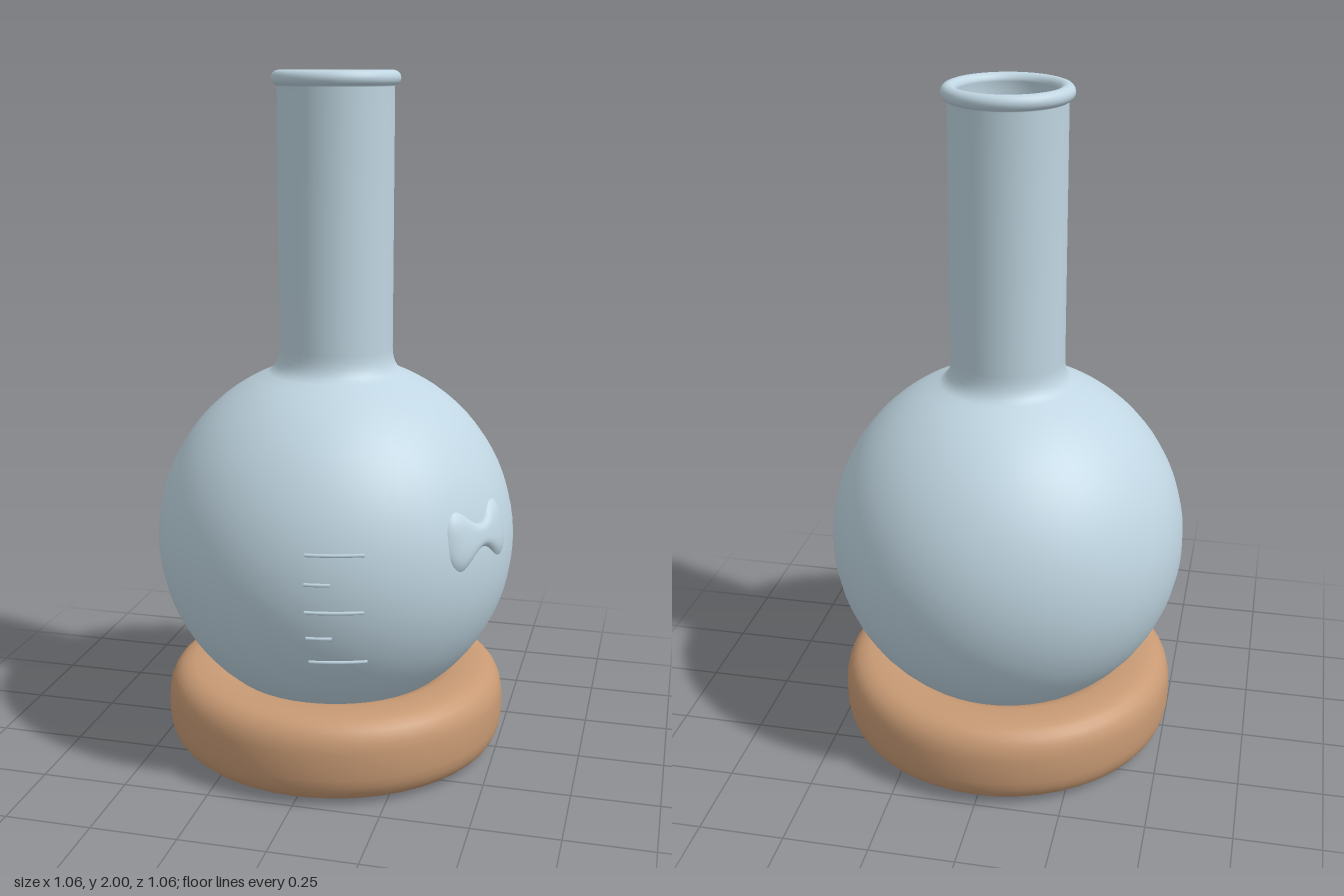
import * as THREE from 'three';

const R = 0.53, CY = 0.65, SEG = 48;

const glass = new THREE.MeshStandardMaterial({ name: 'glass blue', color: 0xc0d6e2 });
const cork = new THREE.MeshStandardMaterial({ name: 'cork brown', color: 0xc89a74 });
const liquid = new THREE.MeshStandardMaterial({ name: 'liquid pink', color: 0xd98c96 });

// Points on a circular arc in a lathe profile
function arc(cx, cy, r, a0, a1, n) {
  return Array.from({ length: n + 1 }, (_, i) => {
    const a = a0 + (a1 - a0) * i / n;
    return new THREE.Vector2(Math.max(0, cx + r * Math.cos(a)), cy + r * Math.sin(a));
  });
}

function add(group, name, geometry, material) {
  const mesh = new THREE.Mesh(geometry, material);
  mesh.name = name;
  group.add(mesh);
  return mesh;
}

// Round bulb, filleted neck, rolled lip and inner wall as one profile
function flaskGeometry() {
  const p = (x, y) => new THREE.Vector2(x, y);
  const inner = R - 0.025;
  const fillet = new THREE.CubicBezierCurve3(
    new THREE.Vector3(0.2, 1.141, 0), new THREE.Vector3(0.18, 1.152, 0),
    new THREE.Vector3(0.166, 1.17, 0), new THREE.Vector3(0.166, 1.215, 0)
  ).getPoints(6).map(v => p(v.x, v.y));
  return new THREE.LatheGeometry([
    ...arc(0, CY, R, -Math.PI / 2, Math.acos(0.2 / R), 36).slice(0, -1),
    ...fillet,
    p(0.166, 1.6), p(0.166, 1.955),
    ...arc(0.161, 1.978, 0.022, -1.0, Math.PI, 12),
    p(0.145, 1.95), p(0.145, 1.2),
    ...arc(0, CY, inner, Math.acos(0.145 / inner), -Math.PI / 2, 24),
  ], SEG);
}

// Cork support ring with a rounded-square section
function ringGeometry() {
  const pts = [];
  for (let i = 0; i <= 32; i++) {
    const a = Math.PI + i / 32 * Math.PI * 2;
    const soft = v => Math.sign(v) * Math.abs(v) ** 0.72;
    pts.push(new THREE.Vector2(0.4 + 0.11 * soft(Math.cos(a)), 0.125 + 0.125 * soft(Math.sin(a))));
  }
  return new THREE.LatheGeometry(pts, SEG);
}

// Raised two-lobed emblem wrapped on to the bulb
function emblemGeometry() {
  const geo = new THREE.PlaneGeometry(2, 2, 28, 16);
  const pos = geo.attributes.position;
  const lat0 = Math.asin((0.745 - CY) / R), az0 = 65 * Math.PI / 180;
  for (let i = 0; i < pos.count; i++) {
    const u = pos.getX(i), v = pos.getY(i);
    const half = (0.036 + 0.06 * Math.sin(Math.min(1, Math.abs(u) / 0.75) * Math.PI / 2) ** 2)
      * Math.sqrt(Math.max(0.02, 1 - Math.abs(u) ** 6));
    const lat = lat0 + v * half / R;
    const az = az0 + u * 0.14 / (R * Math.cos(lat0));
    const r = R - 0.005 + 0.019 * (1 - v ** 4) * (1 - u ** 6);
    pos.setXYZ(i, r * Math.cos(lat) * Math.sin(az), CY + r * Math.sin(lat), r * Math.cos(lat) * Math.cos(az));
  }
  geo.computeVertexNormals();
  return geo;
}

export function createModel() {
  const model = new THREE.Group();
  model.name = 'flaskOnRing';

  add(model, 'flask', flaskGeometry(), glass);
  add(model, 'supportRing', ringGeometry(), cork);
  add(model, 'emblem', emblemGeometry(), glass);

  // Liquid filling the lower bulb, with a flat surface
  const body = arc(0, CY, R - 0.03, -Math.PI / 2, 0.1, 20);
  const top = body[body.length - 1];
  add(model, 'liquidBody', new THREE.LatheGeometry(body, SEG), liquid);
  const surface = add(model, 'liquidSurface', new THREE.CircleGeometry(top.x, SEG), liquid);
  surface.rotation.x = -Math.PI / 2;
  surface.position.y = top.y;

  // Graduation marks, alternately long and short
  const marks = new THREE.Group();
  marks.name = 'graduationMarks';
  for (let i = 0; i < 5; i++) {
    const y = 0.43 + i * 0.08;
    const r = Math.sqrt(R * R - (y - CY) ** 2) + 0.002;
    const a0 = Math.asin(0.045 / r), a1 = Math.asin((i % 2 ? 0.115 : 0.2) / r);
    const mark = add(marks, 'mark' + (i + 1), new THREE.TorusGeometry(r, 0.005, 6, 8, a1 - a0), glass);
    mark.rotation.set(Math.PI / 2, 0, Math.PI / 2 - a1);
    mark.position.y = y;
  }
  model.add(marks);
  return model;
}
